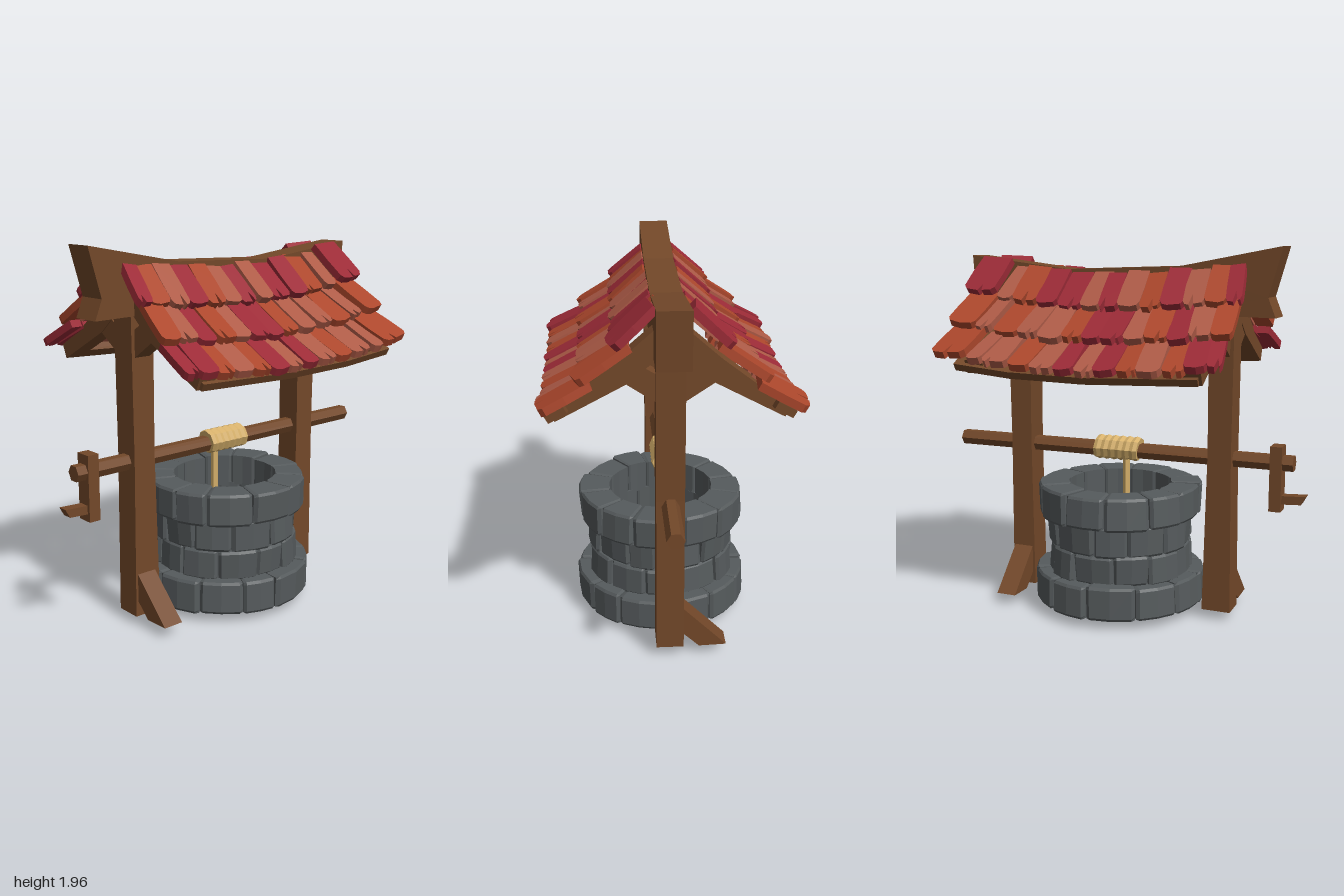
import * as THREE from 'three';

const material = (name, color) => {
  const m = new THREE.MeshStandardMaterial({ color });
  m.name = name;
  return m;
};

export function createModel() {
  const model = new THREE.Group();
  model.name = 'well';
  const wood = material('wood', 0x734829);
  const stone = material('stone', 0x565b5d);
  const rope = material('rope', 0xd8b26c);
  const tileColors = {
    C: material('crimson tile', 0x9c2b37),
    O: material('orange tile', 0xac472c),
    S: material('salmon tile', 0xae5b47),
  };

  let seed = 7;
  const rand = (a) => {
    seed = (seed * 16807) % 2147483647;
    return (seed / 2147483647 * 2 - 1) * a;
  };

  // Faceted mesh with hard edges
  const add = (name, geometry, mat, parent = model) => {
    const g = geometry.index ? geometry.toNonIndexed() : geometry;
    g.computeVertexNormals();
    const mesh = new THREE.Mesh(g, mat);
    mesh.name = name;
    parent.add(mesh);
    return mesh;
  };
  const group = (name, parent = model) => {
    const g = new THREE.Group();
    g.name = name;
    parent.add(g);
    return g;
  };
  // Outline in (x, y), extruded along z about its middle
  const prism = (points, depth) => {
    const shape = new THREE.Shape(points.map(([x, y]) => new THREE.Vector2(x, y)));
    return new THREE.ExtrudeGeometry(shape, { depth, bevelEnabled: false }).translate(0, 0, -depth / 2);
  };
  // Outline in (z, y), extruded along x
  const sidePrism = (points, width, x) => prism(points, width).rotateY(-Math.PI / 2).translate(x, 0, 0);

  // Stone rings: each block is a box bent round the well, worn at its edges
  const wall = group('stoneWall');
  wall.position.set(0.033, 0, 0.013);
  const us = [0, 0.08, 0.5, 0.92, 1];
  const vs = [0, 0.08, 0.92, 1];
  const block = (a0, a1, r0, r1, y0, y1) => {
    const g = new THREE.BoxGeometry(1, 1, 1, 4, 3, 1);
    const p = g.attributes.position;
    const tilt = rand(0.007);
    for (let i = 0; i < p.count; i++) {
      const k = Math.round((p.getX(i) + 0.5) * 4);
      const l = Math.round((p.getY(i) + 0.5) * 3);
      const endWear = k % 4 === 0 ? 0.015 : 0;
      const rimWear = l % 3 === 0 ? 0.009 : 0;
      const a = a0 + (a1 - a0) * us[k];
      const r = p.getZ(i) > 0
        ? r1 - Math.max(endWear, rimWear) + (l > 1 ? tilt : -tilt)
        : r0 + endWear * 0.5;
      const y = y0 + (y1 - y0) * vs[l] + (l > 1 ? -endWear : endWear) * 0.4;
      p.setXYZ(i, Math.sin(a) * r, y, Math.cos(a) * r);
    }
    return g;
  };
  const rings = [
    [0.05, 0.225, 0.31, 0.458], [0.215, 0.375, 0.28, 0.393],
    [0.37, 0.535, 0.28, 0.393], [0.525, 0.698, 0.28, 0.438],
  ];
  rings.forEach(([y0, y1, r0, r1], row) => {
    const n = 12;
    const edges = Array.from({ length: n }, (_, i) => (i + row * 0.45 + rand(0.16)) / n * Math.PI * 2);
    edges.push(edges[0] + Math.PI * 2);
    for (let i = 0; i < n; i++) {
      const j = rand(0.008);
      add('stoneBlock', block(edges[i] + 0.005, edges[i + 1] - 0.005, r0, r1 + j, y0 + rand(0.005), y1 + rand(0.005)), stone, wall);
    }
  });

  // Posts with one foot brace each, on opposite sides
  add('rightPost', prism([[-0.47, 0.05], [-0.49, 0.9], [-0.485, 1.7], [-0.62, 1.7], [-0.615, 0.9], [-0.625, 0.05]], 0.14), wood);
  add('leftPost', prism([[0.66, 0.06], [0.655, 0.9], [0.665, 1.7], [0.53, 1.7], [0.535, 0.9], [0.525, 0.06]], 0.14), wood);
  for (const [s, x] of [[-1, -0.555], [1, 0.595]]) {
    const brace = [[0.06, 0.29], [0.29, 0.06], [0.15, 0.055], [0.06, 0.14]].map(([z, y]) => [-s * z, y]);
    add('footBrace', sidePrism(brace, 0.11, x), wood);
  }

  // Sagging ridge beam
  add('ridgeBeam', prism([
    [-0.86, 1.96], [-0.79, 1.71], [-0.83, 1.61], [-0.33, 1.62], [0.3, 1.61],
    [0.85, 1.63], [0.87, 1.91], [0.3, 1.84], [-0.33, 1.86],
  ], 0.16), wood);

  // Rafters, knee braces and eave planks on both slopes
  for (const s of [-1, 1]) {
    const flip = (pts) => pts.map(([z, y]) => [s * z, y]);
    for (const x of [-0.555, 0.595]) {
      add('rafter', sidePrism(flip([
        [0.04, 1.79], [0.24, 1.615], [0.41, 1.485], [0.57, 1.395], [0.54, 1.325], [0.2, 1.505], [0.04, 1.64],
      ]), 0.1, x), wood);
      add('kneeBrace', sidePrism(flip([[0.04, 1.39], [0.04, 1.53], [0.14, 1.59], [0.22, 1.51]]), 0.09, x), wood);
    }
    const eave = prism([
      [-0.59, 1.345], [0, 1.32], [0.4, 1.33], [0.7, 1.365], [0.7, 1.405], [0.4, 1.37], [0, 1.36], [-0.59, 1.385],
    ], 0.1);
    add('eavePlank', eave.translate(0, -1.35, 0).rotateX(s * 0.5).translate(0, 1.35, s * 0.515), wood);
  }

  // Roof tiles: three overlapping courses per slope, flaring out toward the eaves
  const edgesX = [-0.71, -0.63, -0.52, -0.41, -0.29, -0.18, -0.06, 0.04, 0.15, 0.28, 0.4, 0.54, 0.63, 0.82];
  const courses = [
    { colors: 'COSCOSCSCCOSC', top: [0.07, 1.815], bottom: [0.257, 1.65], shift: 0, last: 0.025 },
    { colors: 'OSCOSCCOSSOSO', top: [0.2, 1.645], bottom: [0.432, 1.5], shift: 0.025, last: 0.012 },
    { colors: 'CCOSOCSCSOSSO', top: [0.38, 1.48], bottom: [0.605, 1.365], shift: -0.01, last: 0.012 },
  ];
  // Worn bottom edge, with a split in every other tile
  const tile = (w, h, split) => {
    const n = rand(w * 0.22);
    const chip = split
      ? [[n - 0.012, -0.008], [n, 0.05 + rand(0.02)], [n + 0.012, -0.004]]
      : [[n, -0.01]];
    return prism([
      [-w * 0.49, 0.02], [-w * 0.38, -0.002], ...chip, [w * 0.4, 0.002], [w * 0.5, 0.025],
      [w * 0.51, h * 0.5], [w * 0.48, h], [-w * 0.48, h], [-w * 0.51, h * 0.5],
    ], 0.04);
  };
  for (const s of [1, -1]) {
    const slope = group(s > 0 ? 'frontRoof' : 'backRoof');
    if (s < 0) slope.rotation.y = Math.PI;
    courses.forEach(({ colors, top, bottom, shift, last }, row) => {
      const dz = top[0] - bottom[0], dy = top[1] - bottom[1];
      const length = Math.hypot(dz, dy);
      [...colors].forEach((c, i) => {
        const x0 = edgesX[i] + (i > 0 ? shift : 0);
        const x1 = edgesX[i + 1] + (i < 12 ? shift : 0);
        const x = (x0 + x1) / 2;
        const lift = (i === 12 ? last : 0) + (i % 2 ? 0.003 : -0.003);
        const mesh = add('roofTile', tile(x1 - x0, length + rand(0.01), (i + row) % 2 === 0), tileColors[c], slope);
        mesh.position.set(s * x, bottom[1] + 0.1 * x * x + lift + rand(0.005), bottom[0] + lift + rand(0.012));
        mesh.rotation.set(Math.atan2(dz, dy) + rand(0.03), rand(0.07), s * 0.17 * x + rand(0.05));
      });
    });
  }

  // Hexagonal axle and crank
  const axle = new THREE.CylinderGeometry(0.044, 0.044, 1.93, 6).rotateY(Math.PI / 6).rotateZ(Math.PI / 2);
  add('axle', axle.rotateX(Math.PI / 6).translate(0.035, 0.872, 0), wood);
  add('crankArm', new THREE.BoxGeometry(0.062, 0.34, 0.09).translate(-0.843, 0.79, 0), wood);
  add('crankHandle', prism([[-1, 0.71], [-0.975, 0.665], [-0.81, 0.655], [-0.81, 0.7]], 0.055), wood);

  // Rope wound on the axle as one ridged coil, and its hanging end
  const coil = new THREE.CylinderGeometry(0.064, 0.064, 0.25, 8, 12);
  const cp = coil.attributes.position;
  for (let i = 0; i < cp.count; i++) {
    const ridge = Math.round((cp.getY(i) / 0.25 + 0.5) * 12) % 2 ? 1.08 : 0.97;
    cp.setXYZ(i, cp.getX(i) * ridge, cp.getY(i) + cp.getX(i) * 0.12, cp.getZ(i) * ridge);
  }
  add('ropeCoil', coil.rotateZ(Math.PI / 2).translate(0.038, 0.88, 0), rope);
  add('hangingRope', new THREE.CylinderGeometry(0.019, 0.019, 0.85, 6).translate(-0.015, 0.425, -0.015), rope);

  return model;
}
